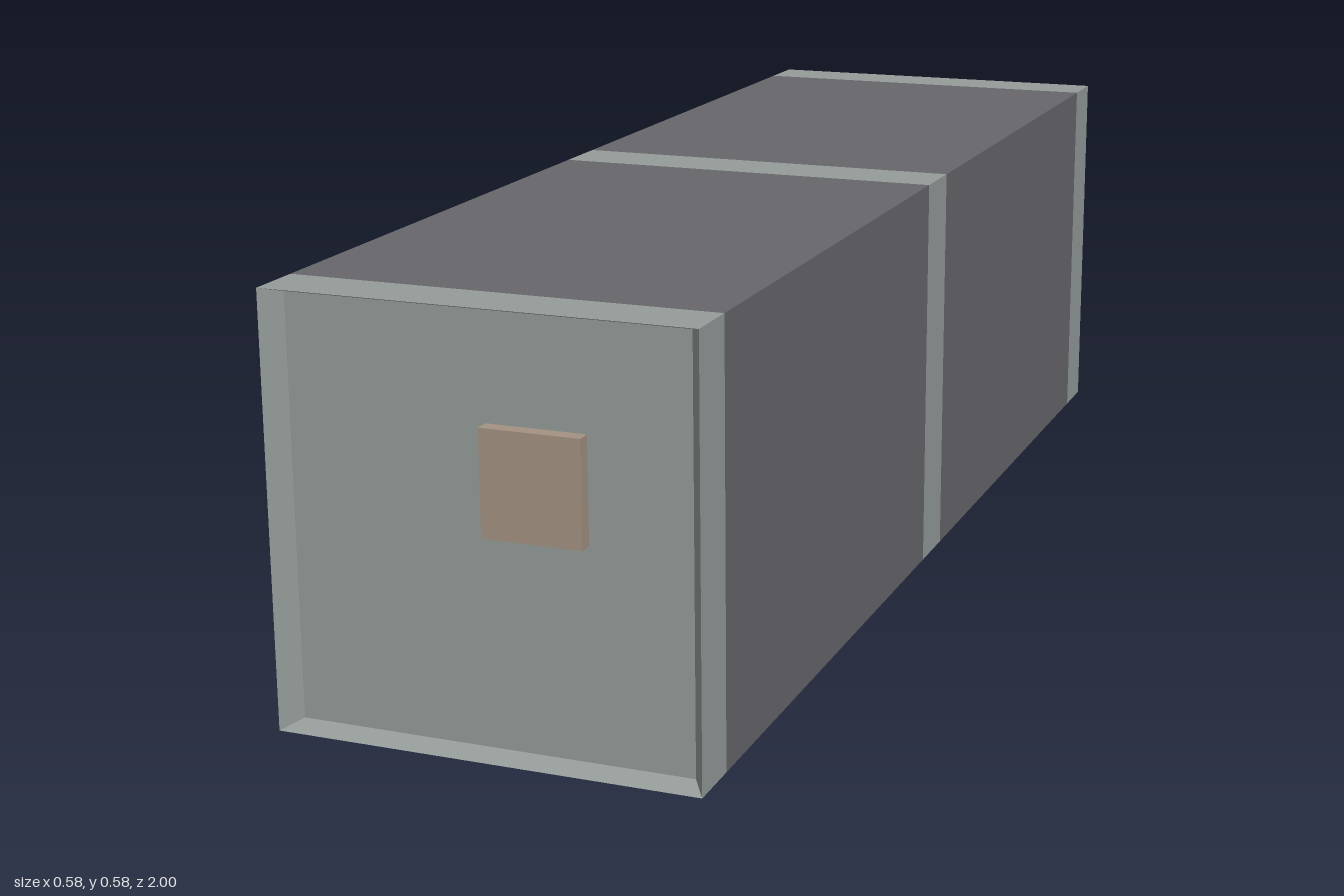
import * as THREE from 'three';

const material = (name, color, side = THREE.FrontSide) => {
  const m = new THREE.MeshStandardMaterial({ color, side });
  m.name = name;
  return m;
};

export function createModel() {
  const root = new THREE.Group();
  root.name = 'squareContainer';
  const light = material('paleGrey', 0x949c9a, THREE.DoubleSide);
  const dark = material('darkGrey', 0x67666b);
  const latch = material('latchBlack', 0x2b3735);
  const tan = material('buttonTan', 0xa49282);
  const H = 0.29, MID = 0.29; // half width, centre height

  const add = (name, geo, mat) => {
    const mesh = new THREE.Mesh(geo, mat);
    mesh.name = name;
    root.add(mesh);
    return mesh;
  };
  // box given by its limits on each axis
  const box = (name, mat, x0, x1, y0, y1, z0, z1) =>
    add(name, new THREE.BoxGeometry(x1 - x0, y1 - y0, z1 - z0), mat)
      .position.set((x0 + x1) / 2, (y0 + y1) / 2, (z0 + z1) / 2);
  const square = (h, C) => {
    const s = new C();
    s.moveTo(-h, -h); s.lineTo(h, -h); s.lineTo(h, h); s.lineTo(-h, h); s.closePath();
    return s;
  };
  // square tube between two depths
  const tube = (name, mat, outer, inner, z0, z1) => {
    const s = square(outer, THREE.Shape);
    s.holes.push(square(inner, THREE.Path));
    add(name, new THREE.ExtrudeGeometry(s, { depth: z1 - z0, bevelEnabled: false }), mat)
      .position.set(0, MID, z0);
  };

  // long hollow body with pale bands
  tube('rearBand', light, H, 0.262, -0.905, -0.82);
  tube('rearBody', dark, H, 0.262, -0.82, 0.005);
  tube('middleBand', light, H, 0.262, 0.005, 0.095);
  tube('frontBody', dark, H, 0.262, 0.095, 0.92);
  tube('innerLiner', dark, 0.262, 0.25, -0.905, 0.92);

  // front cap: outer sides, sloping lip and recessed panel
  const loops = [[0.29, 0.29, 0.92], [0.29, 0.29, 1], [0.27, 0.281, 0.97]];
  const pos = [];
  const corners = [[-1, -1], [1, -1], [1, 1], [-1, 1]];
  for (let l = 0; l < 2; l++) {
    for (let i = 0; i < 4; i++) {
      const p = (loop, c) => [loop[0] * c[0], MID + loop[1] * c[1], loop[2]];
      const c0 = corners[i], c1 = corners[(i + 1) % 4];
      const a = p(loops[l], c0), b = p(loops[l], c1);
      const c = p(loops[l + 1], c1), d = p(loops[l + 1], c0);
      pos.push(...a, ...b, ...c, ...a, ...c, ...d);
    }
  }
  const rim = new THREE.BufferGeometry();
  rim.setAttribute('position', new THREE.Float32BufferAttribute(pos, 3));
  rim.computeVertexNormals();
  add('frontRim', rim, light);
  box('frontPanel', light, -0.27, 0.27, 0.009, 0.571, 0.92, 0.97);
  box('frontButton', tan, 0, 0.134, 0.29, 0.43, 0.97, 0.99);

  // rear coupling: thin side walls, corner blocks and latch plates
  for (const s of [-1, 1]) {
    const x = s * 0.247;
    box('collarWall', light, x - 0.003, x + 0.003, 0.03, 0.55, -1, -0.9);
    box('sideLatch', latch, x - 0.005, x + 0.005, 0.155, 0.42, -1, -0.93);
    const y = MID + s * 0.212;
    box('collarPlate', light, -0.25, 0.25, y - 0.003, y + 0.003, -0.998, -0.9);
    box('crossLatch', latch, -0.125, 0.125, y - 0.005, y + 0.005, -1, -0.912);
    for (const t of [-1, 1]) {
      const cx = t * 0.1875, cy = MID + s * 0.2355;
      box('cornerBlock', light, cx - 0.0625, cx + 0.0625, cy - 0.0245, cy + 0.0245, -1, -0.9);
    }
  }
  return root;
}
